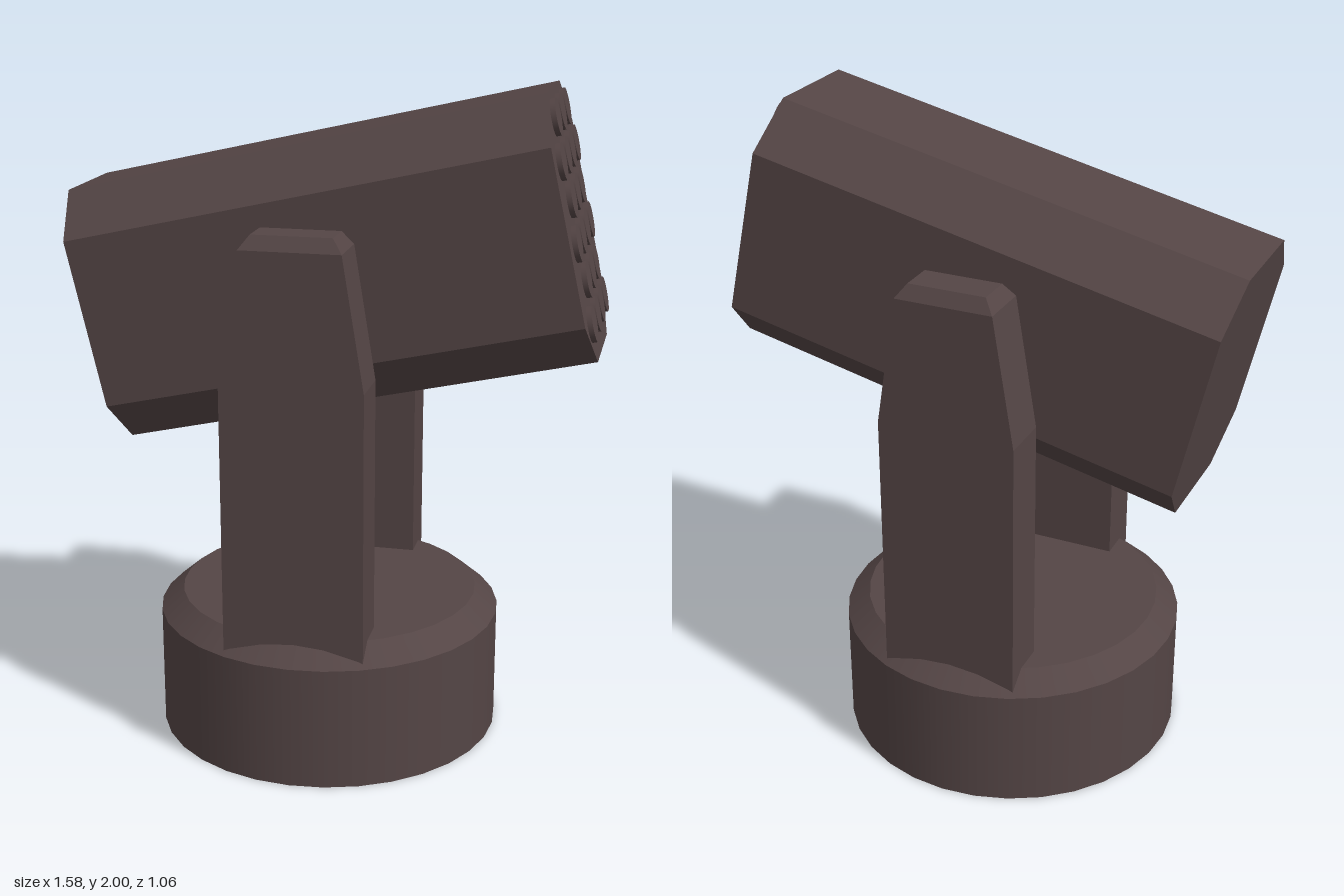
import * as THREE from 'three';

const AXIS_X = -0.037; // turret axis

export function createModel() {
  const model = new THREE.Group();
  const metal = new THREE.MeshStandardMaterial({ color: 0x544545 });
  metal.name = 'dark brown metal';

  const add = (parent, name, geometry, x = 0, y = 0, z = 0) => {
    const mesh = new THREE.Mesh(geometry, metal);
    mesh.name = name;
    mesh.position.set(x, y, z);
    parent.add(mesh);
    return mesh;
  };

  // Round base: drum, bevelled rim, top and bottom discs
  const base = new THREE.Group();
  base.name = 'base';
  base.position.x = AXIS_X;
  model.add(base);
  add(base, 'drum', new THREE.CylinderGeometry(0.53, 0.53, 0.375, 32, 1, true), 0, 0.1875);
  add(base, 'bevelledRim', new THREE.CylinderGeometry(0.46, 0.53, 0.06, 32, 1, true), 0, 0.405);
  add(base, 'deck', new THREE.CircleGeometry(0.46, 32).rotateX(-Math.PI / 2).rotateY(Math.PI / 2), 0, 0.435);
  add(base, 'underside', new THREE.CircleGeometry(0.53, 32).rotateX(Math.PI / 2).rotateY(Math.PI / 2));

  // Support arms: a box whose levels are [height, half width, half thickness]
  const levels = [[0.3, 0.21, 0.078], [1.2, 0.21, 0.078], [1.59, 0.147, 0.078], [1.63, 0.117, 0.052]];
  const armGeometry = () => {
    const box = new THREE.BoxGeometry(2, 3, 2, 1, 3, 1);
    const p = box.attributes.position;
    for (let i = 0; i < p.count; i++) {
      const [y, w, t] = levels[Math.round(p.getY(i) + 1.5)];
      p.setXYZ(i, p.getX(i) * w, y, p.getZ(i) * t);
    }
    const flat = box.toNonIndexed();
    flat.computeVertexNormals();
    return flat;
  };
  for (const side of [1, -1]) {
    const label = side > 0 ? 'front' : 'back';
    add(model, label + 'Arm', armGeometry(), AXIS_X, 0, side * 0.392);
    add(model, label + 'Pivot', new THREE.CylinderGeometry(0.105, 0.105, 0.06, 32).rotateX(Math.PI / 2),
      AXIS_X, 1.465, side * 0.305);
  }

  // Tilted launcher housing with an eight-sided section
  const launcher = new THREE.Group();
  launcher.name = 'launcher';
  launcher.position.set(-0.0025, 1.465, 0);
  launcher.rotation.z = Math.atan2(0.32, 1.405);
  model.add(launcher);

  const length = 1.441, h = 0.385, w = 0.293, c = 0.132;
  const section = new THREE.Shape([
    [w, h - c], [w - c, h], [c - w, h], [-w, h - c],
    [-w, c - h], [c - w, -h], [w - c, -h], [w, c - h],
  ].map(([x, y]) => new THREE.Vector2(x, y)));
  const housing = new THREE.ExtrudeGeometry(section, { depth: length, bevelEnabled: false });
  housing.translate(0, 0, -length / 2).rotateY(Math.PI / 2);
  add(launcher, 'housing', housing);

  // Tube caps in staggered rows of three and four
  const cap = new THREE.CylinderGeometry(0.053, 0.053, 0.03, 24).rotateZ(-Math.PI / 2);
  for (let row = 0; row < 6; row++) {
    const count = 3 + (row % 2);
    for (let i = 0; i < count; i++) {
      add(launcher, 'tubeCap', cap, length / 2, 0.313 - row * 0.116, (i - (count - 1) / 2) * 0.123);
    }
  }
  return model;
}
